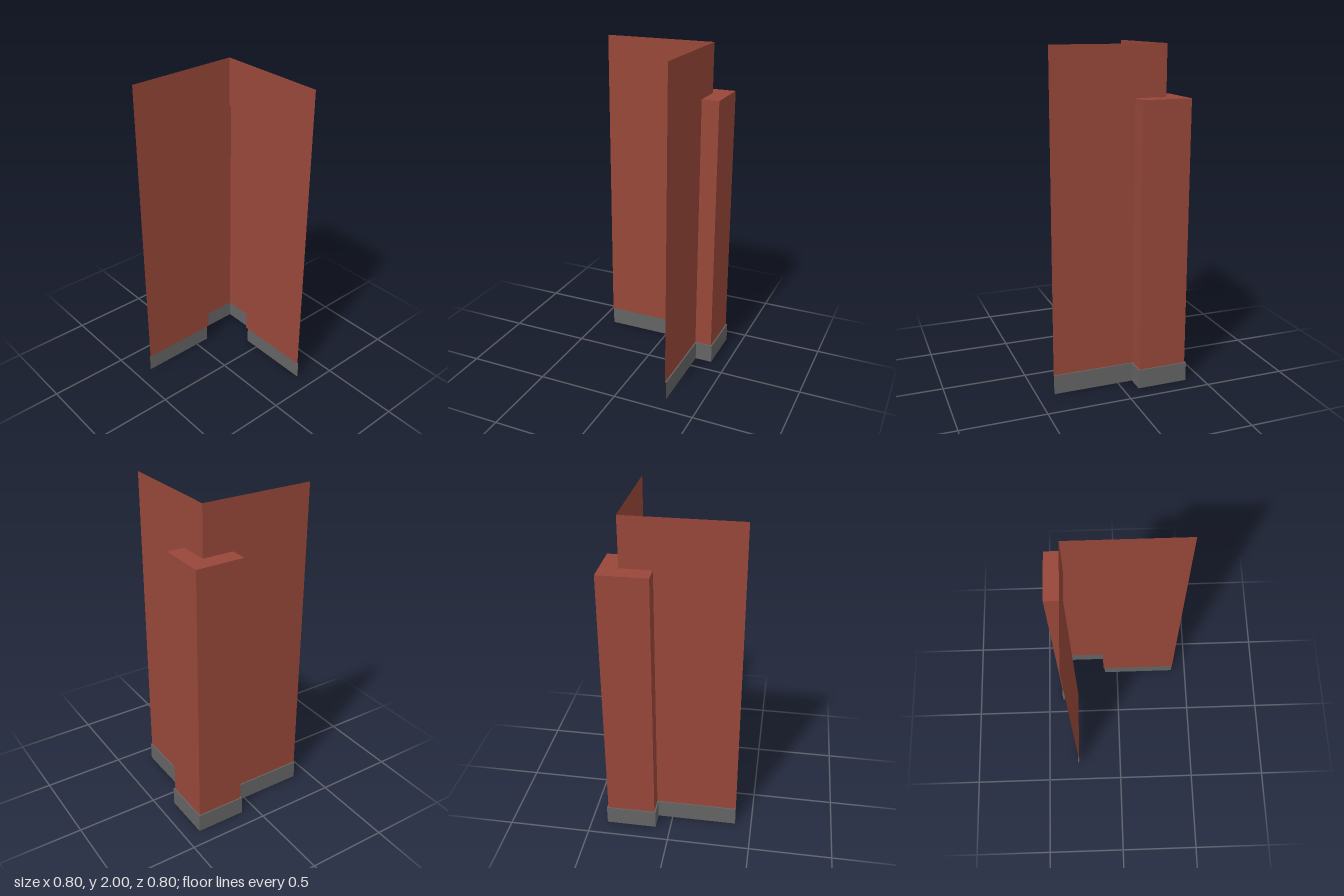
import * as THREE from 'three';

const BASE_H = 0.116, PILASTER_H = 1.704, WALL_H = 2;
const END = 0.4;

// Plan outline [x, z] running along the back wall, round the corner pilaster, along the side wall
function outline(wall, outer, edge) {
  return [[-END, -wall], [edge, -wall], [edge, -outer], [outer, -outer],
    [outer, -edge], [wall, -edge], [wall, END]];
}

// Flat-faced sheet between a lower and an upper plan path with equal point counts
function sheet(lower, y0, upper, y1) {
  const pos = [];
  for (let i = 0; i < lower.length - 1; i++) {
    const a = [lower[i][0], y0, lower[i][1]], b = [lower[i + 1][0], y0, lower[i + 1][1]];
    const c = [upper[i][0], y1, upper[i][1]], d = [upper[i + 1][0], y1, upper[i + 1][1]];
    pos.push(...a, ...c, ...b, ...b, ...c, ...d);
  }
  const g = new THREE.BufferGeometry();
  g.setAttribute('position', new THREE.Float32BufferAttribute(pos, 3));
  g.computeVertexNormals();
  return g;
}

export function createModel() {
  const brick = new THREE.MeshStandardMaterial({ color: 0x984739, side: THREE.DoubleSide });
  brick.name = 'brick red';
  const stone = new THREE.MeshStandardMaterial({ color: 0x646464, side: THREE.DoubleSide });
  stone.name = 'plinth grey';

  const group = new THREE.Group();
  group.name = 'wallCorner';
  const add = (name, geometry, material) => {
    const mesh = new THREE.Mesh(geometry, material);
    mesh.name = name;
    group.add(mesh);
    return mesh;
  };

  const wallPath = outline(0.286, 0.392, 0.099);
  const basePath = outline(0.294, 0.4, 0.091);

  // Thin walls and the hollow pilaster projecting from their corner
  const backRun = wallPath.slice(0, 2), sideRun = wallPath.slice(5);
  const pilasterRun = wallPath.slice(1, 6);
  add('backWall', sheet(backRun, BASE_H, backRun, PILASTER_H), brick);
  add('sideWall', sheet(sideRun, BASE_H, sideRun, PILASTER_H), brick);
  add('pilaster', sheet(pilasterRun, BASE_H, pilasterRun, PILASTER_H), brick);

  // Wall band above the pilaster
  const upperRun = [[-END, -0.286], [0.286, -0.286], [0.286, END]];
  add('upperWall', sheet(upperRun, PILASTER_H, upperRun, WALL_H), brick);

  // L-shaped pilaster top
  const cap = [...pilasterRun, [0.286, -0.286]].map(([x, z]) => new THREE.Vector2(x, -z));
  const capGeometry = new THREE.ShapeGeometry(new THREE.Shape(cap));
  capGeometry.rotateX(-Math.PI / 2);
  add('pilasterTop', capGeometry, brick).position.y = PILASTER_H;

  // Plinth with its narrow top ledge
  add('plinth', sheet(basePath, 0, basePath, BASE_H), stone);
  add('plinthLedge', sheet(basePath, BASE_H, wallPath, BASE_H), stone);

  return group;
}
